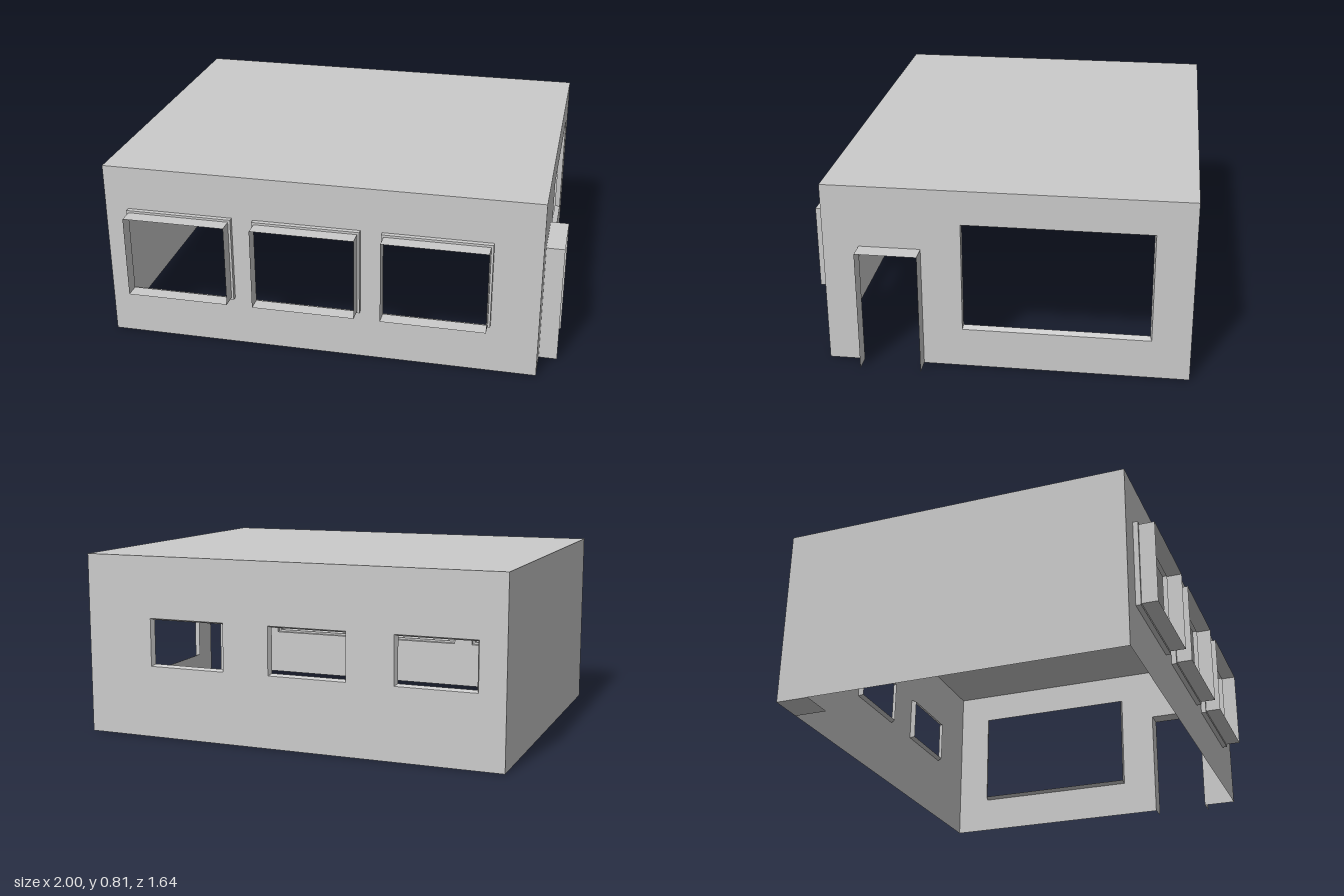
import * as THREE from 'three';

const material = new THREE.MeshStandardMaterial({ color: 0xcccccc, side: THREE.DoubleSide, flatShading: true });

// Building shell extents
const X0 = -1, X1 = 0.92, Z0 = -0.82, Z1 = 0.73, H = 0.81;

// Corners of a rectangle, counter-clockwise
const rect = (u0, v0, u1, v1) => [[u0, v0], [u1, v0], [u1, v1], [u0, v1]];

function mesh(name, geometry) {
  const m = new THREE.Mesh(geometry, material);
  m.name = name;
  return m;
}

// Flat sheet from an outline with cut-out openings
function sheet(name, outline, holes = []) {
  const toPoints = (pts) => pts.map(([u, v]) => new THREE.Vector2(u, v));
  const shape = new THREE.Shape(toPoints(outline));
  for (const h of holes) shape.holes.push(new THREE.Path(toPoints(h)));
  return mesh(name, new THREE.ShapeGeometry(shape));
}

// Thin surround joining successive outlines, each { pts, w } with w measured outward from the wall
function surround(name, rings, closed = true) {
  const pos = [];
  for (let r = 0; r + 1 < rings.length; r++) {
    const a = rings[r], b = rings[r + 1], n = a.pts.length;
    for (let i = 0; i < (closed ? n : n - 1); i++) {
      const j = (i + 1) % n;
      const A = [...a.pts[i], a.w], B = [...a.pts[j], a.w];
      const C = [...b.pts[j], b.w], D = [...b.pts[i], b.w];
      pos.push(...A, ...B, ...C, ...A, ...C, ...D);
    }
  }
  const g = new THREE.BufferGeometry();
  g.setAttribute('position', new THREE.Float32BufferAttribute(pos, 3));
  g.computeVertexNormals();
  return mesh(name, g);
}

export function createModel() {
  const model = new THREE.Group();
  model.name = 'building';

  // Each wall is drawn in its own plane, then turned and moved into place
  const wall = (name, angle, x, z, parts) => {
    const g = new THREE.Group();
    g.name = name;
    g.rotation.y = angle;
    g.position.set(x, 0, z);
    g.add(...parts);
    model.add(g);
  };

  // Front wall with three stepped, projecting window surrounds
  const frontHoles = [], frontFrames = [];
  for (const cx of [-0.659, -0.09, 0.478]) {
    const outer = rect(cx - 0.237, 0.226, cx + 0.237, 0.615);
    const inner = rect(cx - 0.227, 0.236, cx + 0.227, 0.605);
    frontHoles.push(outer);
    frontFrames.push(surround('frontWindowFrame', [
      { pts: outer, w: 0 }, { pts: outer, w: 0.022 }, { pts: inner, w: 0.022 }, { pts: inner, w: 0.09 },
    ]));
  }
  wall('frontWall', 0, 0, Z1, [sheet('frontPanel', rect(X0, 0, X1, H), frontHoles), ...frontFrames]);

  // Back wall with three small recessed windows (u = -x)
  const backHoles = [], backReveals = [];
  for (const cx of [-0.707, -0.139, 0.43]) {
    const outer = rect(-cx - 0.178, 0.32, -cx + 0.178, 0.535);
    const inner = rect(-cx - 0.168, 0.328, -cx + 0.168, 0.526);
    backHoles.push(outer);
    backReveals.push(surround('backWindowReveal', [{ pts: outer, w: 0 }, { pts: inner, w: -0.022 }]));
  }
  wall('backWall', Math.PI, 0, Z0, [sheet('backPanel', rect(-X1, 0, -X0, H), backHoles), ...backReveals]);

  // Right wall with a doorway notch and a large window (u = -z)
  const door = [[-0.577, 0], [-0.577, 0.54], [-0.315, 0.54], [-0.315, 0]];
  const big = rect(-0.145, 0.175, 0.655, 0.66);
  const bigInner = rect(-0.143, 0.186, 0.648, 0.649);
  wall('rightWall', Math.PI / 2, X1, 0, [
    sheet('rightPanel', [[-Z1, 0], ...door, [-Z0, 0], [-Z0, H], [-Z1, H]], [big]),
    surround('largeWindowReveal', [{ pts: big, w: 0 }, { pts: bigInner, w: -0.025 }]),
    surround('doorPorch', [{ pts: door, w: 0 }, { pts: door, w: 0.08 }], false),
  ]);

  // Plain left wall (u = z)
  wall('leftWall', -Math.PI / 2, X0, 0, [sheet('leftPanel', rect(Z0, 0, Z1, H))]);

  // Flat roof (v = -z)
  const roof = sheet('roof', rect(X0, -Z1, X1, -Z0));
  roof.rotation.x = -Math.PI / 2;
  roof.position.y = H;
  model.add(roof);

  // Small floor plate in the back corner, facing down (v = z)
  const plate = sheet('cornerFloorPlate', rect(X0, Z0, X0 + 0.155, Z0 + 0.15));
  plate.rotation.x = Math.PI / 2;
  model.add(plate);

  return model;
}
